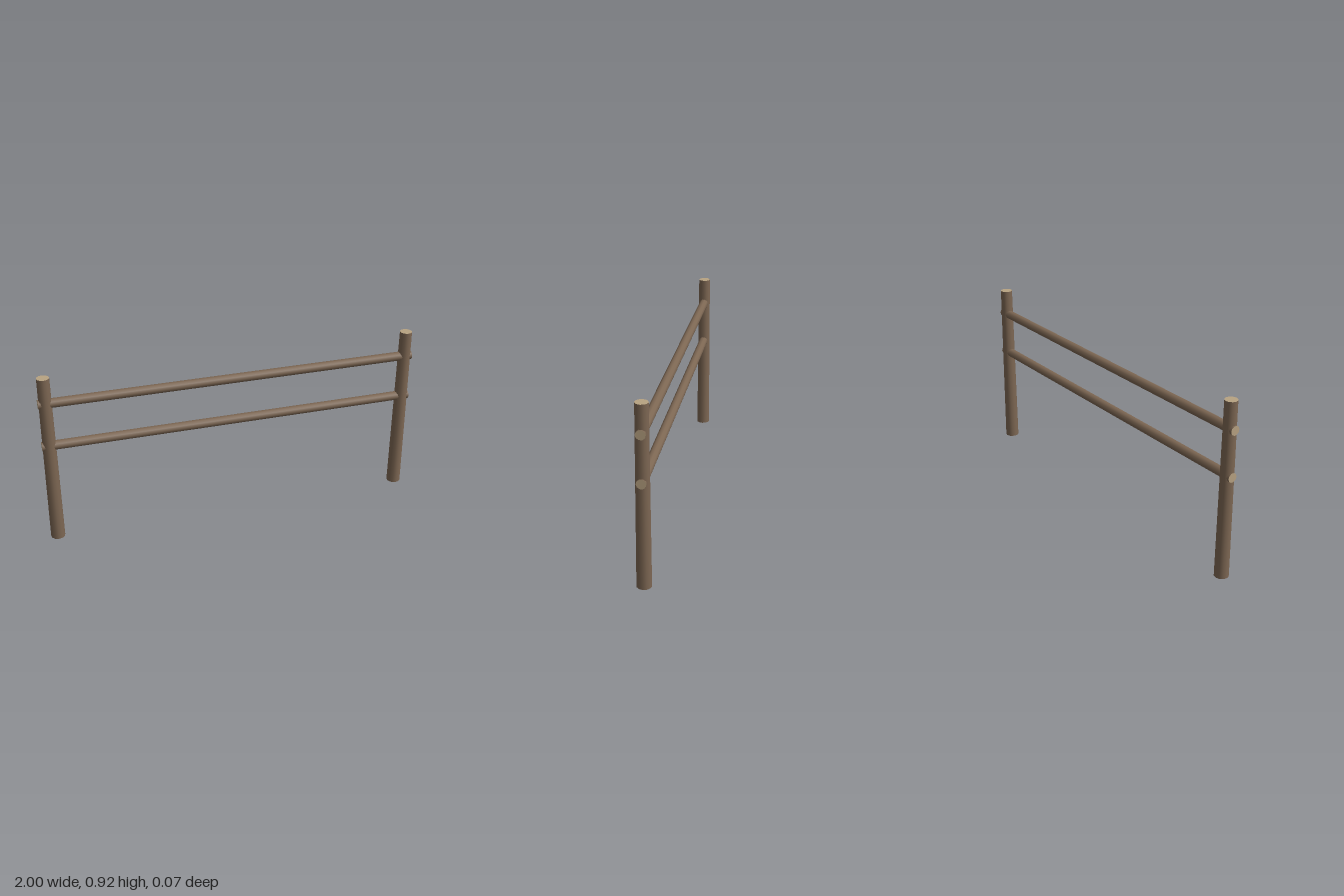
import * as THREE from 'three';

export function createModel() {
  const bark = new THREE.MeshStandardMaterial({ color: 0x7d6753 });
  const cutWood = new THREE.MeshStandardMaterial({ color: 0xb8a382 });
  const model = new THREE.Group();
  model.name = 'railFence';

  // A log: bark side, with one material for each sawn end
  function log(name, rTop, rBottom, length, sides, bottomMaterial) {
    const geometry = new THREE.CylinderGeometry(rTop, rBottom, length, sides);
    const mesh = new THREE.Mesh(geometry, [bark, cutWood, bottomMaterial]);
    mesh.name = name;
    model.add(mesh);
    return mesh;
  }

  // Two upright posts, slightly thinner at the top
  for (const [name, side] of [['leftPost', 1], ['rightPost', -1]]) {
    const post = log(name, 0.032, 0.037, 0.92, 12, bark);
    post.position.set(side * 0.963, 0.46, 0);
  }

  // Two round rails passing through both posts
  for (const [name, y] of [['upperRail', 0.78], ['lowerRail', 0.543]]) {
    const rail = log(name, 0.0245, 0.0245, 2, 10, cutWood);
    rail.rotation.z = Math.PI / 2;
    rail.position.y = y;
  }

  return model;
}
